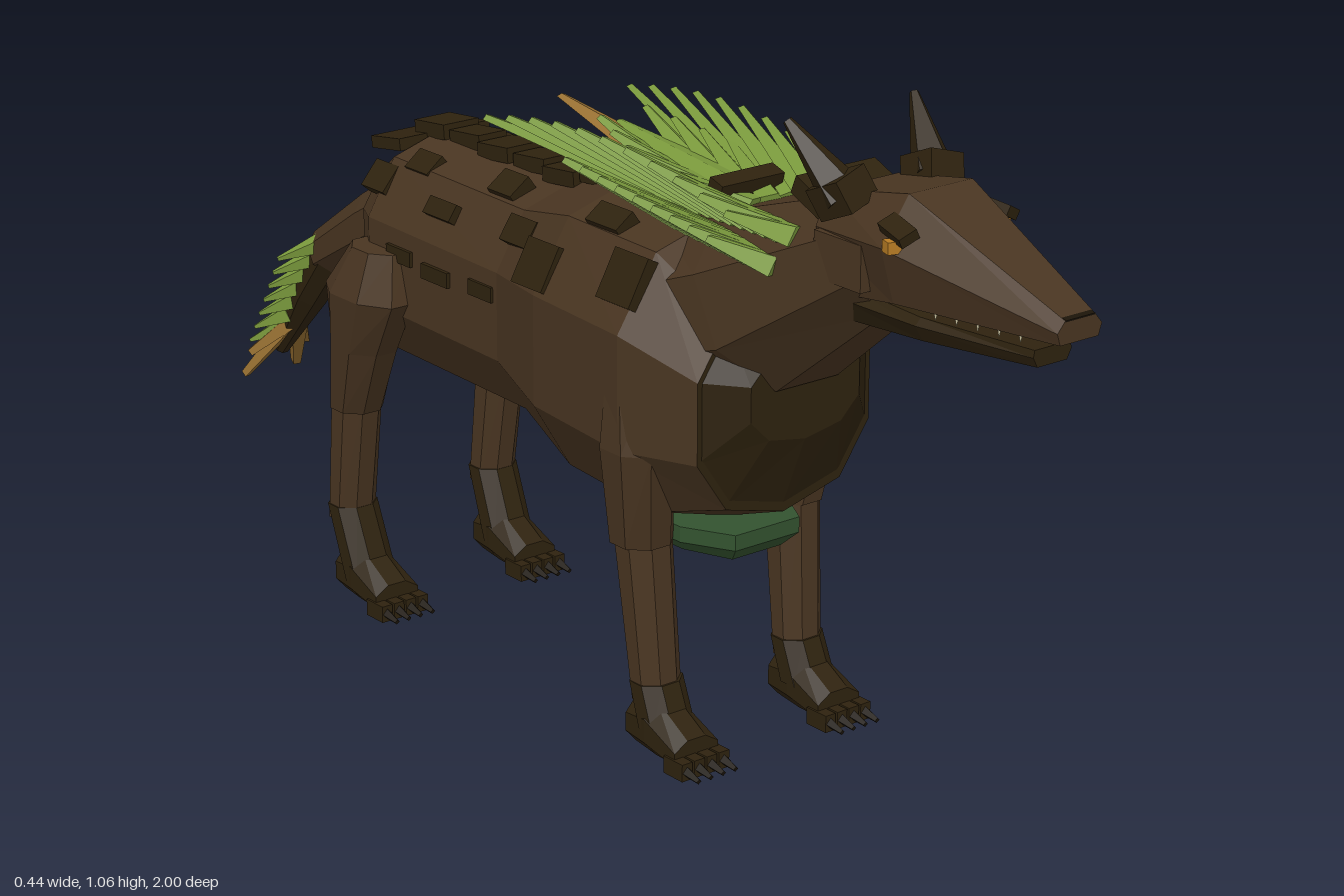
import * as THREE from 'three';

const mat = (name, color) => {
  const m = new THREE.MeshStandardMaterial({ color });
  m.name = name;
  return m;
};

export function createModel() {
  const brown = mat('bark brown', 0x493521);
  const dark = mat('dark bark', 0x2e220e);
  const green = mat('leaf green', 0x78973b);
  const moss = mat('moss green', 0x33522f);
  const gold = mat('autumn gold', 0x987032);
  const amber = mat('eye amber', 0xb87c24);
  const bone = mat('tooth bone', 0xd0c8a4);
  const claw = mat('claw black', 0x1b1409);

  const model = new THREE.Group();
  model.name = 'forestWolf';

  function add(name, geo, material, parent = model) {
    const mesh = new THREE.Mesh(geo, material);
    mesh.name = name;
    parent.add(mesh);
    return mesh;
  }

  // Faceted skin through equal rings of points; group 0 is the side, group 1 the two ends
  function skin(rings) {
    const pos = [], n = rings[0].length;
    const tri = (...p) => p.forEach((v) => pos.push(v.x, v.y, v.z));
    for (let i = 0; i < rings.length - 1; i++) {
      const a = rings[i], b = rings[i + 1];
      for (let j = 0; j < n; j++) {
        const k = (j + 1) % n;
        tri(a[j], a[k], b[k]);
        tri(a[j], b[k], b[j]);
      }
    }
    const sides = pos.length / 3;
    const first = rings[0], last = rings[rings.length - 1];
    for (let j = 1; j < n - 1; j++) {
      tri(first[0], first[j + 1], first[j]);
      tri(last[0], last[j], last[j + 1]);
    }
    const g = new THREE.BufferGeometry();
    g.setAttribute('position', new THREE.Float32BufferAttribute(pos, 3));
    g.computeVertexNormals();
    g.addGroup(0, sides, 0);
    g.addGroup(sides, pos.length / 3 - sides, 1);
    return g;
  }

  // Section: [x, y, z, halfWidth, halfDepth]; tilt 0 runs to +z, 90 down, 180 to -z
  function loft(sections, tilt = 0, n = 8, power = 1) {
    const t = THREE.MathUtils.degToRad(tilt);
    const soft = (v) => Math.sign(v) * Math.abs(v) ** power;
    return skin(sections.map(([x, y, z, rx, ry]) => Array.from({ length: n }, (_, i) => {
      const a = -Math.PI / 2 + ((i + (n === 8 ? 0.5 : 0)) / n) * Math.PI * 2;
      const u = soft(Math.sin(a)) * ry;
      return new THREE.Vector3(x + soft(Math.cos(a)) * rx, y + u * Math.cos(t), z + u * Math.sin(t));
    })));
  }

  // Six-sided section for the head: [z, top y, top w, middle y, middle w, bottom y, bottom w]
  const hexLoft = (rows) => skin(rows.map(([z, yt, wt, ym, wm, yb, wb]) =>
    [[-wb, yb], [wb, yb], [wm, ym], [wt, yt], [-wt, yt], [-wm, ym]]
      .map(([x, y]) => new THREE.Vector3(x, y, z))));

  // Flat tapering spike from base to tip
  function spike(name, base, tip, width, thick, material, parent, blunt = 0.12, sides = 4) {
    const a = new THREE.Vector3(...base), b = new THREE.Vector3(...tip);
    const d = b.clone().sub(a);
    const g = new THREE.CylinderGeometry(blunt, 1, d.length(), sides).toNonIndexed();
    g.scale(width, 1, thick);
    g.computeVertexNormals();
    const mesh = add(name, g, material, parent);
    mesh.position.copy(a).lerp(b, 0.5);
    mesh.quaternion.setFromUnitVectors(new THREE.Vector3(0, 1, 0), d.normalize());
    return mesh;
  }

  function box(name, size, at, material, rot = [0, 0, 0], parent = model) {
    const mesh = add(name, new THREE.BoxGeometry(...size), material, parent);
    mesh.position.set(...at);
    mesh.rotation.set(...rot);
    return mesh;
  }

  // Trunk, domed breast and neck
  add('body', loft([
    [0, 0.62, -0.54, 0.11, 0.12], [0, 0.61, -0.45, 0.165, 0.195], [0, 0.605, -0.1, 0.17, 0.195],
    [0, 0.6, 0.05, 0.215, 0.24], [0, 0.595, 0.27, 0.228, 0.245], [0, 0.57, 0.395, 0.175, 0.175],
  ], 0, 10, 0.85), [brown, dark]);
  add('breast', loft([[0, 0.57, 0.39, 0.172, 0.172], [0, 0.6, 0.442, 0.11, 0.075]], 0, 10, 0.85), [dark, dark]);
  add('neck', loft([[0, 0.69, 0.25, 0.17, 0.14], [0, 0.735, 0.38, 0.155, 0.15],
    [0, 0.865, 0.62, 0.105, 0.095]], -28), [brown, brown]);
  box('neckCollar', [0.15, 0.03, 0.08], [0, 0.928, 0.53], dark, [0.4, 0, 0]);
  box('napePlate', [0.12, 0.03, 0.03], [0, 0.885, 0.3], dark, [0.3, 0, 0]);

  // Head
  const head = new THREE.Group();
  head.name = 'head';
  model.add(head);
  add('skull', hexLoft([
    [0.56, 0.95, 0.065, 0.9, 0.09, 0.8, 0.07],
    [0.72, 0.98, 0.06, 0.91, 0.11, 0.825, 0.085],
    [1.0, 0.862, 0.028, 0.846, 0.042, 0.828, 0.036]]), [brown, brown], head);
  add('jaw', hexLoft([
    [0.6, 0.815, 0.06, 0.8, 0.078, 0.765, 0.06],
    [0.75, 0.808, 0.06, 0.797, 0.07, 0.772, 0.055],
    [0.95, 0.808, 0.034, 0.797, 0.036, 0.782, 0.028]]), [dark, dark], head);
  box('nose', [0.055, 0.022, 0.02], [0, 0.855, 0.988], claw, [0.3, 0, 0], head);
  for (const s of [-1, 1]) {
    for (let i = 0; i < 5; i++) {
      const z = 0.78 + i * 0.035, x = s * (0.06 - i * 0.007);
      spike('upperTooth', [x, 0.832, z], [x, 0.812, z], 0.006, 0.006, bone, head);
    }
    box('eye', [0.022, 0.018, 0.02], [s * 0.103, 0.916, 0.735], amber, [0, s * 0.3, 0], head);
    box('brow', [0.03, 0.016, 0.06], [s * 0.092, 0.937, 0.735], dark, [0.15, s * 0.2, s * -0.5], head);
    box('cheek', [0.02, 0.07, 0.1], [s * 0.092, 0.865, 0.62], brown, [0, 0, 0], head);
    box('earBase', [0.06, 0.05, 0.07], [s * 0.085, 0.96, 0.61], dark, [-0.4, 0, s * -0.3], head);
    spike('ear', [s * 0.085, 0.955, 0.615], [s * 0.12, 1.054, 0.53], 0.038, 0.034, dark, head, 0.2, 5);
  }

  // Leafy mane: side fans growing longer toward the back, and a centre crest
  const mane = new THREE.Group();
  mane.name = 'mane';
  model.add(mane);
  for (const s of [-1, 1]) {
    for (let i = 0; i < 11; i++) {
      const t = i / 10;
      spike('maneLeaf', [s * (0.09 - 0.045 * t), 0.875 - 0.025 * t, 0.52 - 0.3 * t],
        [s * (0.13 + 0.012 * t), 0.89 + 0.05 * Math.sin(2.7 * t), 0.41 - 0.56 * t],
        0.027, 0.017, green, mane, 0.32);
      if (i < 9) spike('lowerManeLeaf', [s * (0.11 - 0.02 * t), 0.83 + 0.01 * t, 0.5 - 0.28 * t],
        [s * 0.155, 0.855 + 0.05 * t, 0.4 - 0.42 * t], 0.026, 0.017, green, mane, 0.32);
    }
    for (let i = 0; i < 4; i++) {
      spike('innerManeLeaf', [s * 0.02, 0.86, 0.34 - i * 0.05],
        [s * (0.09 - i * 0.015), 0.9 + i * 0.01, 0.16 - i * 0.05], 0.03, 0.017, green, mane, 0.28);
    }
  }
  spike('crestLeaf', [0, 0.865, 0.31], [0, 0.915, 0], 0.065, 0.018, green, mane);
  spike('crestTip', [0, 0.87, 0.14], [0, 0.923, -0.145], 0.045, 0.018, gold, mane, 0.2);

  // Bark plates down the spine and over the rump
  for (let i = 0; i < 7; i++) {
    box('spinePlate', [i % 2 ? 0.055 : 0.07, 0.025, 0.08],
      [0, 0.805 + Math.max(0, 2 - i) * 0.018, 0.06 - i * 0.085], dark, [-0.1, 0, 0]);
  }
  box('rumpPlate', [0.18, 0.02, 0.08], [0, 0.782, -0.495], dark, [-0.15, 0, 0]);

  // Bark plates on the flanks: [z, y, x, length, height, lean]
  const plates = [
    [0.24, 0.755, 0.175, 0.078, 0.08, 0.5], [0.035, 0.725, 0.18, 0.075, 0.075, 0.5],
    [0.135, 0.81, 0.12, 0.075, 0.04, 0.95], [-0.07, 0.742, 0.133, 0.065, 0.045, 0.6],
    [-0.14, 0.638, 0.155, 0.06, 0.025, 0], [-0.275, 0.728, 0.133, 0.07, 0.03, 0.6],
    [-0.26, 0.632, 0.155, 0.07, 0.025, 0], [-0.38, 0.77, 0.09, 0.06, 0.04, 0.9],
    [-0.36, 0.64, 0.153, 0.065, 0.025, 0], [-0.17, 0.782, 0.08, 0.06, 0.045, 0.95],
    [-0.46, 0.735, 0.118, 0.06, 0.05, 0.7],
  ];
  for (const s of [-1, 1]) {
    for (const [z, y, x, l, h, lean] of plates) {
      box('flankPlate', [0.025, h, l], [s * x, y, z], dark, [0, 0, s * lean]);
    }
  }

  // Moss pad under the chest
  const pad = (w, z0, z1, y) => [[-w * 0.6, z0], [-w, z0 + 0.08], [-w, z1 - 0.08], [-w * 0.6, z1],
    [w * 0.6, z1], [w, z1 - 0.08], [w, z0 + 0.08], [w * 0.6, z0]]
    .map(([x, z]) => new THREE.Vector3(x, y, z)).reverse();
  add('bellyMoss', skin([pad(0.105, 0.05, 0.36, 0.36), pad(0.105, 0.05, 0.36, 0.335),
    pad(0.08, 0.07, 0.335, 0.31)]), [moss, moss]);

  // Legs
  function paw(x, z, parent) {
    add('paw', loft([[x, 0.045, z - 0.055, 0.036, 0.04], [x, 0.05, z, 0.045, 0.05],
      [x, 0.028, z + 0.075, 0.046, 0.028]]), [dark, dark], parent);
    for (let i = 0; i < 4; i++) {
      const tx = x + (i - 1.5) * 0.024;
      box('toe', [0.02, 0.028, 0.045], [tx, 0.016, z + 0.075], dark, [0, 0, 0], parent);
      spike('claw', [tx, 0.016, z + 0.095], [tx, 0.01, z + 0.125], 0.009, 0.009, claw, parent, 0.5);
    }
  }
  for (const s of [-1, 1]) {
    const side = s > 0 ? 'left' : 'right';
    const front = new THREE.Group(), hind = new THREE.Group();
    front.name = side + 'FrontLeg';
    hind.name = side + 'HindLeg';
    model.add(front, hind);
    add('upperLeg', loft([[s * 0.165, 0.6, 0.255, 0.055, 0.045], [s * 0.17, 0.5, 0.256, 0.055, 0.066],
      [s * 0.15, 0.34, 0.243, 0.05, 0.05]], 90), [brown, brown], front);
    add('lowerLeg', loft([[s * 0.148, 0.36, 0.243, 0.046, 0.046],
      [s * 0.141, 0.09, 0.27, 0.041, 0.034]], 90), [brown, brown], front);
    add('wrist', loft([[s * 0.141, 0.12, 0.268, 0.044, 0.038],
      [s * 0.142, 0.05, 0.295, 0.045, 0.042]], 90), [dark, dark], front);
    paw(s * 0.143, 0.293, front);

    add('thigh', loft([[s * 0.155, 0.64, -0.42, 0.045, 0.06], [s * 0.17, 0.56, -0.435, 0.056, 0.1],
      [s * 0.16, 0.46, -0.468, 0.052, 0.068], [s * 0.148, 0.34, -0.51, 0.044, 0.047]], 90), [brown, brown], hind);
    add('shin', loft([[s * 0.148, 0.37, -0.508, 0.042, 0.045],
      [s * 0.145, 0.14, -0.535, 0.04, 0.035]], 90), [brown, brown], hind);
    add('hock', loft([[s * 0.145, 0.165, -0.533, 0.043, 0.038],
      [s * 0.143, 0.04, -0.485, 0.044, 0.042]], 90), [dark, dark], hind);
    paw(s * 0.143, -0.487, hind);
  }

  // Tail with paired leaves and a gold tuft
  const tail = new THREE.Group();
  tail.name = 'tail';
  model.add(tail);
  add('tailBase', loft([[0, 0.67, -0.5, 0.06, 0.065], [0, 0.6, -0.64, 0.052, 0.055],
    [0, 0.505, -0.8, 0.042, 0.042]], 150), [brown, dark], tail);
  add('tailEnd', loft([[0, 0.53, -0.77, 0.04, 0.04], [0, 0.42, -0.86, 0.036, 0.036],
    [0, 0.29, -0.955, 0.014, 0.014]], 128), [dark, dark], tail);
  for (const s of [-1, 1]) {
    for (let i = 0; i < 7; i++) {
      const t = i / 6, y = 0.52 - 0.19 * t, z = -0.785 - 0.14 * t;
      spike('tailLeaf', [s * 0.018, y + 0.01, z], [s * (0.085 - 0.03 * t), y - 0.02, z - 0.045],
        0.02, 0.017, green, tail, 0.2);
    }
    spike('tailTuft', [s * 0.01, 0.34, -0.92], [s * 0.053, 0.242, -0.992], 0.02, 0.016, gold, tail, 0.5);
    spike('tailTuftSide', [s * 0.01, 0.35, -0.91], [s * 0.058, 0.29, -0.965], 0.018, 0.015, gold, tail, 0.5);
  }

  return model;
}
